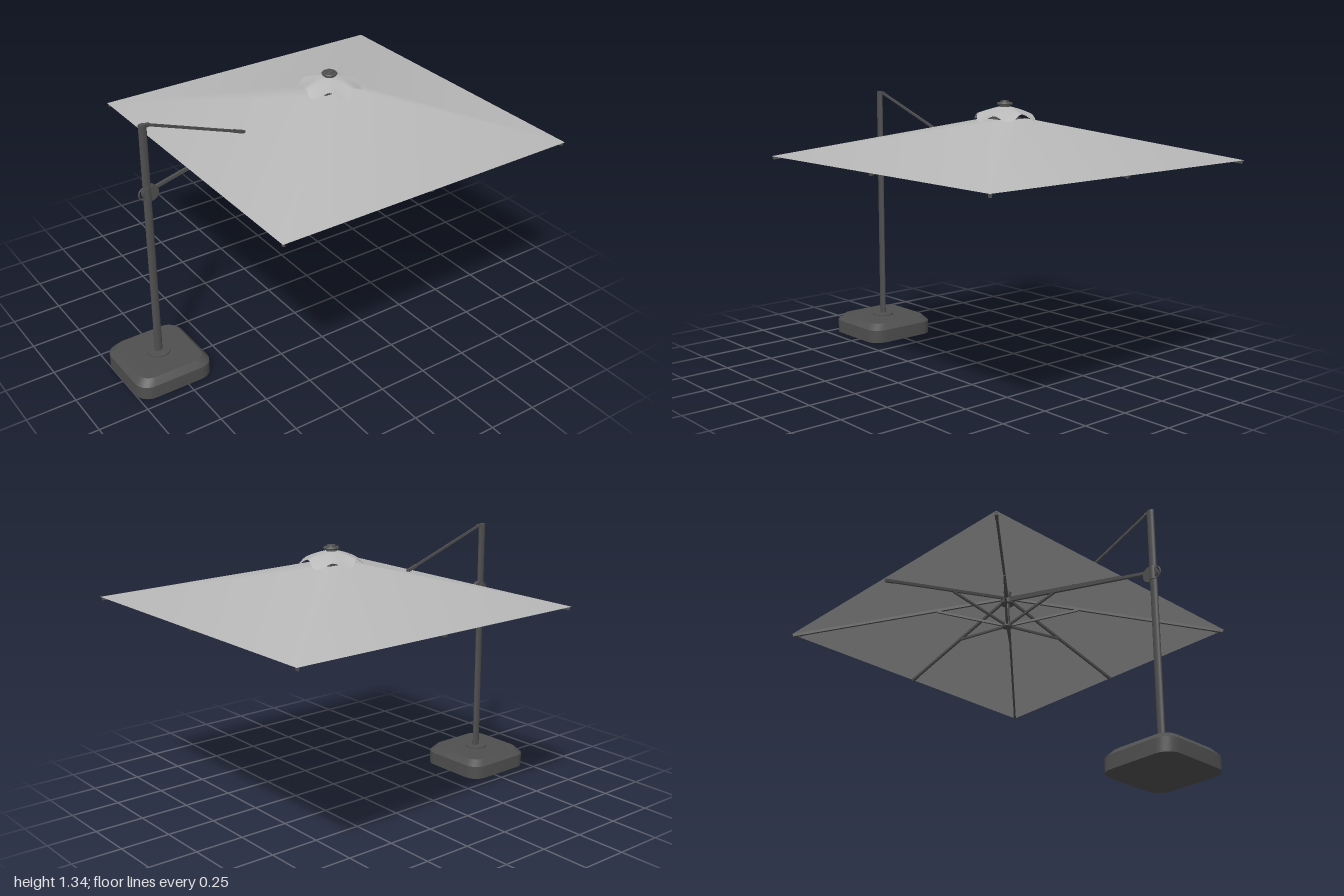
import * as THREE from 'three';
import { toCreasedNormals } from 'three/addons/utils/BufferGeometryUtils.js';

const MAST_X = -0.8, HUB_X = 0.2;
const APEX = 1.27, EDGE = 1.06, HALF = 0.798;

const metal = new THREE.MeshStandardMaterial({ color: 0x4f4f4f });
metal.name = 'dark metal';
const fabric = new THREE.MeshStandardMaterial({ color: 0xb8b8b8, side: THREE.DoubleSide });
fabric.name = 'grey fabric';

const v = (x, y, z) => new THREE.Vector3(x, y, z);

function add(parent, name, geometry, material, x = 0, y = 0, z = 0) {
  const mesh = new THREE.Mesh(geometry, material);
  mesh.name = name;
  mesh.position.set(x, y, z);
  parent.add(mesh);
  return mesh;
}

// Rectangular bar between two points, aimed before it joins its parent
function bar(parent, name, a, b, width, height) {
  const mesh = new THREE.Mesh(new THREE.BoxGeometry(width, height, a.distanceTo(b)), metal);
  mesh.name = name;
  mesh.position.lerpVectors(a, b, 0.5);
  mesh.lookAt(b);
  parent.add(mesh);
}

function lathe(points, segments = 32) {
  const g = new THREE.LatheGeometry(points.map(([r, y]) => new THREE.Vector2(r, y)), segments);
  return toCreasedNormals(g, 0.6);
}

function indexed(pos, idx) {
  const g = new THREE.BufferGeometry();
  g.setAttribute('position', new THREE.Float32BufferAttribute(pos, 3));
  g.setIndex(idx);
  g.computeVertexNormals();
  return g;
}

// Triangles joining stacked closed rings of n points
function ringFaces(rings, n) {
  const idx = [];
  for (let s = 0; s < rings - 1; s++) {
    for (let i = 0; i < n; i++) {
      const a = s * n + i, b = s * n + (i + 1) % n;
      idx.push(a, a + n, b, b, a + n, b + n);
    }
  }
  return idx;
}

// Rounded square sections stacked upward: [half width, y]
function baseGeometry(sections) {
  const outline = [], core = 0.125, r = 0.073, steps = 6, pos = [];
  for (let c = 0; c < 4; c++) {
    for (let i = 0; i <= steps; i++) {
      const a = (c + i / steps) * Math.PI / 2, m = (c + 0.5) * Math.PI / 2;
      outline.push([Math.sign(Math.cos(m)) * core + Math.cos(a) * r, Math.sign(Math.sin(m)) * core + Math.sin(a) * r]);
    }
  }
  for (const [half, y] of sections) {
    for (const [x, z] of outline) pos.push(x * half / (core + r), y, z * half / (core + r));
  }
  return toCreasedNormals(indexed(pos, ringFaces(sections.length, outline.length)), 0.5);
}

// Four-sided sloping canopy, open under the vent, with soft shading
function canopyGeometry() {
  const pos = [];
  for (const [h, y] of [[HALF, EDGE], [0.076, 1.25]]) pos.push(h, y, h, -h, y, h, -h, y, -h, h, y, -h);
  return indexed(pos, ringFaces(2, 4));
}

// Wavy six-pointed vent cap, drooping at its points
function ventGeometry() {
  const segs = 72, rings = 9, pos = [];
  for (let j = 0; j < rings; j++) {
    const t = 1 - j / (rings - 1);
    for (let i = 0; i < segs; i++) {
      const a = i / segs * Math.PI * 2;
      const wave = Math.cos(6 * (a - Math.PI / 2 - 0.08));
      const r = 0.02 + t * (0.122 + 0.011 * wave);
      const y = 1.307 - 0.022 * t - t * t * (0.027 + 0.015 * wave - 0.004 * Math.sin(3 * a + 1));
      pos.push(Math.cos(a) * r, y, Math.sin(a) * r);
    }
  }
  return indexed(pos, ringFaces(rings, segs));
}

export function createModel() {
  const model = new THREE.Group();
  model.name = 'cantileverParasol';

  // Weighted base with chamfered top
  const base = baseGeometry([[0.001, 0], [0.198, 0], [0.198, 0.068], [0.17, 0.098], [0.001, 0.1]]);
  add(model, 'base', base, metal, MAST_X);
  add(model, 'baseCollar', lathe([[0, 0.098], [0.056, 0.098], [0.056, 0.106], [0.03, 0.108], [0, 0.108]]), metal, MAST_X);

  // Oval mast with its top bracket
  const mast = add(model, 'mast', new THREE.CylinderGeometry(0.02, 0.02, 1.23, 24), metal, MAST_X, 0.715);
  mast.scale.z = 0.6;
  add(model, 'mastBracket', new THREE.BoxGeometry(0.035, 0.016, 0.014), metal, -0.783, 1.321);

  // Tilt joint: sleeve, pivot disc and crank ring
  const joint = new THREE.Group();
  joint.name = 'tiltJoint';
  model.add(joint);
  const sleeve = add(joint, 'jointSleeve', new THREE.CylinderGeometry(0.017, 0.017, 0.07, 24), metal, MAST_X, 0.985);
  sleeve.scale.x = 1.15;
  const disc = add(joint, 'pivotDisc', new THREE.CylinderGeometry(0.04, 0.04, 0.022, 32), metal, -0.785, 0.985);
  disc.rotation.x = Math.PI / 2;
  add(joint, 'crankRing', new THREE.TorusGeometry(0.031, 0.004, 8, 32), metal, -0.81, 0.985);

  // Lower arm follows the canopy slope; the upper stay meets the canopy
  bar(model, 'lowerArm', v(-0.775, 1.0, 0), v(0.19, 1.245, 0), 0.014, 0.015);
  bar(model, 'upperStay', v(-0.775, 1.322, 0), v(-0.28, 1.145, 0), 0.008, 0.012);
  bar(model, 'stayEnd', v(-0.34, 1.1665, 0), v(-0.28, 1.145, 0), 0.013, 0.014);

  const shade = new THREE.Group();
  shade.name = 'shade';
  shade.position.x = HUB_X;
  model.add(shade);
  add(shade, 'canopy', canopyGeometry(), fabric);
  add(shade, 'ventCap', ventGeometry(), fabric);

  // Finial on top, hubs and short pole underneath
  add(shade, 'finial', lathe([[0, 1.25], [0.018, 1.25], [0.018, 1.3], [0.026, 1.302], [0.026, 1.309], [0.018, 1.311],
    [0.036, 1.314], [0.038, 1.32], [0.034, 1.326], [0.022, 1.327], [0.02, 1.334], [0, 1.335]]), metal);
  add(shade, 'upperHub', new THREE.CylinderGeometry(0.035, 0.035, 0.025, 24), metal, 0, 1.237);
  add(shade, 'hubPole', new THREE.CylinderGeometry(0.012, 0.012, 0.16, 16), metal, 0, 1.17);
  add(shade, 'lowerHub', new THREE.CylinderGeometry(0.026, 0.026, 0.025, 24), metal, 0, 1.1);

  // Eight ribs, each with a tip and a strut
  for (let i = 0; i < 8; i++) {
    const a = i * Math.PI / 4;
    const reach = i % 2 ? HALF * Math.SQRT2 : HALF;
    const at = (r, drop) => v(Math.cos(a) * r, APEX - (APEX - EDGE) * r / reach - drop, Math.sin(a) * r);
    const rib = new THREE.Group();
    rib.name = 'rib' + (i + 1);
    shade.add(rib);
    bar(rib, 'ribBar', at(0.02, 0.01), at(reach - 0.012, 0.01), 0.011, 0.014);
    bar(rib, 'ribTip', at(reach - 0.06, 0.011), at(reach - 0.009, 0.011), 0.014, 0.014);
    bar(rib, 'strut', v(Math.cos(a) * 0.02, 1.1, Math.sin(a) * 0.02), at(0.37, 0.016), 0.01, 0.011);
  }
  return model;
}
